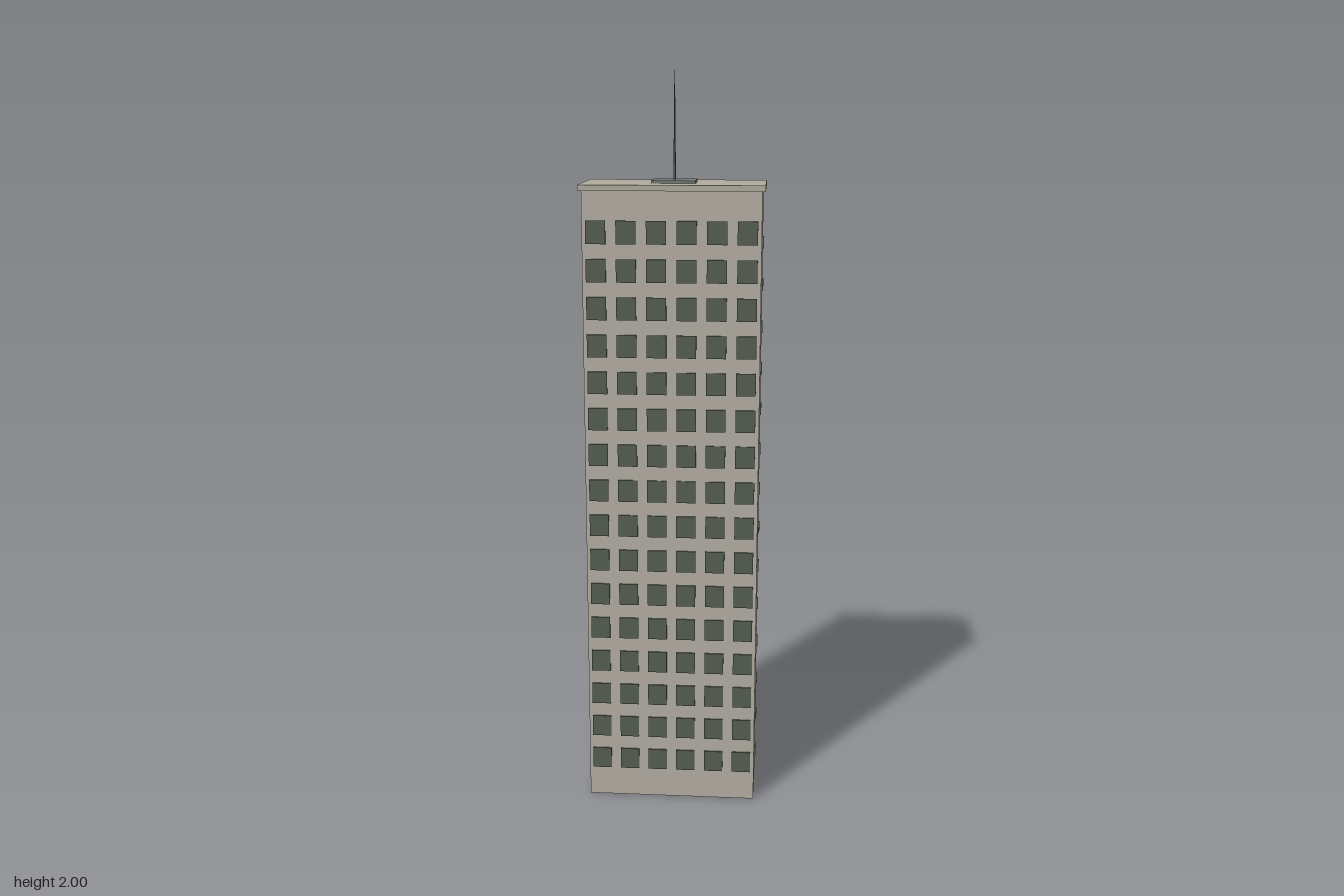
import * as THREE from 'three';
import { mergeGeometries } from 'three/addons/utils/BufferGeometryUtils.js';

const material = (name, color) => {
  const m = new THREE.MeshStandardMaterial({ color });
  m.name = name;
  return m;
};

export function createModel() {
  const concrete = material('concrete', 0xb4b0a4);
  const roofing = material('roof slab', 0xb0ac9e);
  const glass = material('window glass', 0x555e52);
  const plant = material('roof plant', 0x747b77);
  const steel = material('mast steel', 0x566064);

  const tower = new THREE.Group();
  tower.name = 'tower';
  const add = (name, geometry, mat, y = 0) => {
    const mesh = new THREE.Mesh(geometry, mat);
    mesh.name = name;
    mesh.position.y = y;
    tower.add(mesh);
    return mesh;
  };

  const length = 0.464, depth = 0.229, height = 1.7;
  const slab = 0.015, lip = 0.008, roofTop = height + slab;

  // Main block, overhanging roof slab and low plant room
  add('towerBlock', new THREE.BoxGeometry(length, height, depth), concrete, height / 2);
  add('roofSlab', new THREE.BoxGeometry(length + 2 * lip, slab, depth + 2 * lip), roofing, height + slab / 2);
  add('plantRoom', new THREE.BoxGeometry(0.115, 0.007, 0.096), plant, roofTop + 0.0035);

  // Tapered mast
  add('mast', new THREE.CylinderGeometry(0.0008, 0.0035, 2 - roofTop, 8), steel, (2 + roofTop) / 2);

  // A grid of thin panes lying on a wall that faces +z at the given distance
  const panes = (cols, rows, w, h, stepX, stepY, firstY, distance) => {
    const list = [];
    for (let r = 0; r < rows; r++) {
      for (let c = 0; c < cols; c++) {
        const pane = new THREE.BoxGeometry(w, h, 0.004);
        pane.translate((c - (cols - 1) / 2) * stepX, firstY + r * stepY, distance + 0.002);
        list.push(pane);
      }
    }
    return mergeGeometries(list);
  };

  // Large windows on the long walls, small slits on the end walls
  const large = panes(6, 16, 0.052, 0.06, 0.0785, 0.0987, 0.114, depth / 2);
  const slits = panes(1, 14, 0.012, 0.032, 0, 0.1125, 0.098, length / 2);
  for (const turn of [0, Math.PI]) {
    const side = turn ? 'Back' : 'Front';
    add(`windows${side}`, large, glass).rotation.y = turn;
    add(`slits${turn ? 'Right' : 'Left'}`, slits, glass).rotation.y = turn + Math.PI / 2;
  }

  // The tower stands at an angle to the axes
  tower.rotation.y = THREE.MathUtils.degToRad(39.2);
  const model = new THREE.Group();
  model.name = 'officeTower';
  model.add(tower);
  return model;
}
